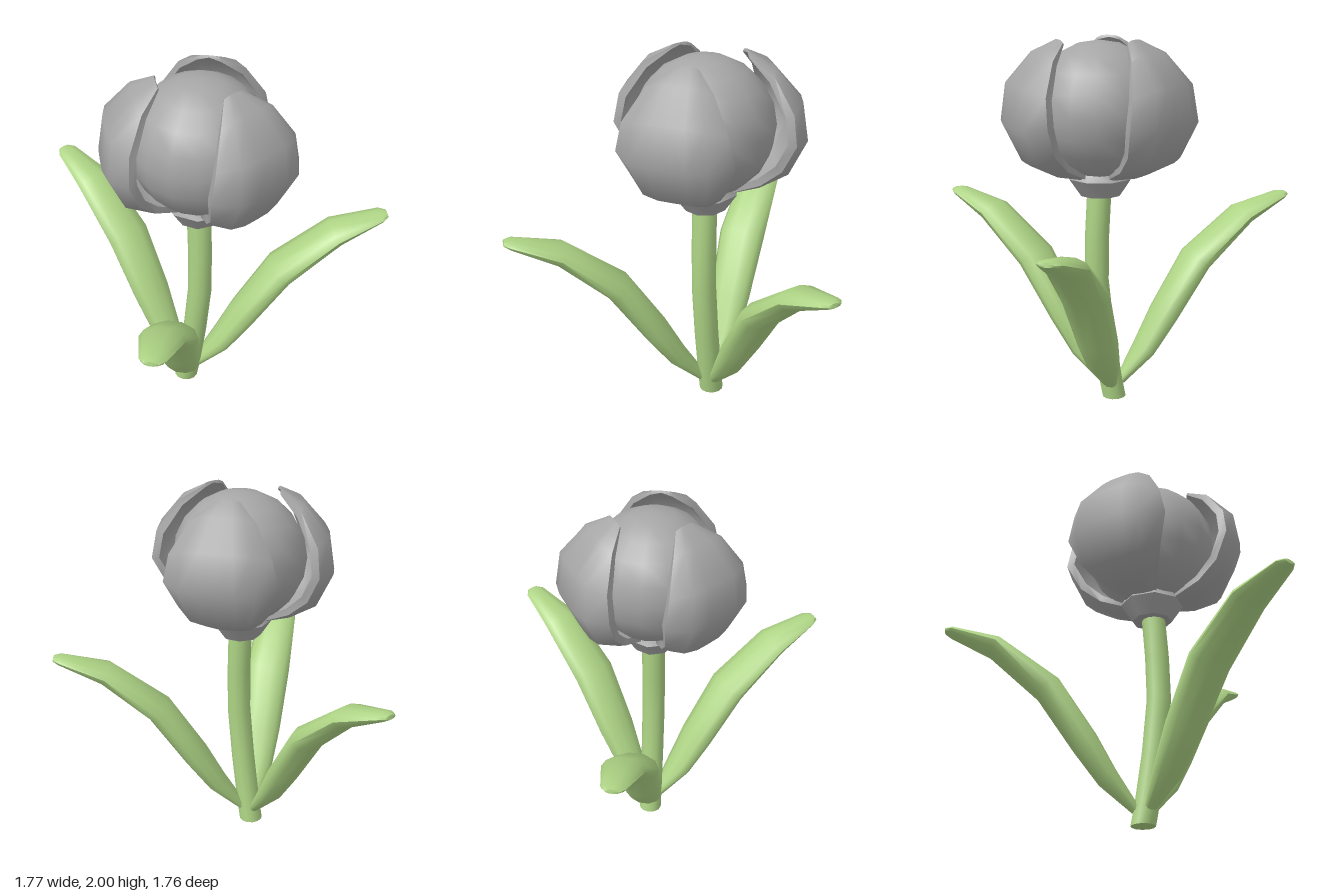
import * as THREE from 'three';
import { toCreasedNormals } from 'three/addons/utils/BufferGeometryUtils.js';

const green = new THREE.MeshStandardMaterial({ color: 0xaed485 });
green.name = 'leaf green';
const gray = new THREE.MeshStandardMaterial({ color: 0xa6a6a6 });
gray.name = 'petal gray';

// Closed skin over rings of points, each ring running counter-clockwise around the path
function loft(rings, crease) {
  const n = rings[0].length;
  const pos = [];
  const index = [];
  rings.forEach((ring) => ring.forEach((p) => pos.push(p.x, p.y, p.z)));
  for (let i = 0; i < rings.length - 1; i++) {
    for (let j = 0; j < n; j++) {
      const a = i * n + j;
      const b = i * n + ((j + 1) % n);
      index.push(a, b, b + n, a, b + n, a + n);
    }
  }
  // End caps
  [0, rings.length - 1].forEach((i) => {
    const c = new THREE.Vector3();
    rings[i].forEach((p) => c.addScaledVector(p, 1 / n));
    const k = pos.length / 3;
    pos.push(c.x, c.y, c.z);
    for (let j = 0; j < n; j++) {
      const a = i * n + j;
      const b = i * n + ((j + 1) % n);
      if (i === 0) index.push(k, b, a);
      else index.push(k, a, b);
    }
  });
  const geo = new THREE.BufferGeometry();
  geo.setAttribute('position', new THREE.Float32BufferAttribute(pos, 3));
  geo.setIndex(index);
  return toCreasedNormals(geo, crease);
}

// Normal of a path in the z-y plane at station i (stations start with z, y)
function pathNormal(stations, i) {
  const a = stations[Math.max(i - 1, 0)];
  const b = stations[Math.min(i + 1, stations.length - 1)];
  return new THREE.Vector3(0, b[0] - a[0], a[1] - b[1]).normalize();
}

function addMesh(parent, name, geometry, material) {
  const mesh = new THREE.Mesh(geometry, material);
  mesh.name = name;
  parent.add(mesh);
  return mesh;
}

// Gently bent stem with level ends
function stemGeometry() {
  const path = [[0, 0.192], [0.12, 0.215], [0.4, 0.257], [0.7, 0.288], [0.95, 0.283], [1.2, 0.267]];
  return loft(path.map(([y, z]) => {
    const ring = [];
    for (let j = 0; j < 12; j++) {
      const a = (j / 12) * Math.PI * 2;
      ring.push(new THREE.Vector3(0.066 * Math.cos(a), y, z - 0.066 * Math.sin(a)));
    }
    return ring;
  }), 1);
}

// Fleshy leaf: distance out, height, half width, half thickness
function leafGeometry() {
  const stations = [
    [0.045, 0.085, 0.036, 0.025], [0.19, 0.255, 0.095, 0.058], [0.31, 0.445, 0.118, 0.074],
    [0.51, 0.748, 0.135, 0.077], [0.8, 0.984, 0.116, 0.058], [1.045, 1.073, 0.064, 0.024],
    [1.08, 1.08, 0.036, 0.012],
  ];
  return loft(stations.map(([z, y, w, t], i) => {
    const normal = pathNormal(stations, i);
    const ring = [];
    for (let j = 0; j < 10; j++) {
      const a = (j / 10) * Math.PI * 2;
      ring.push(new THREE.Vector3(w * Math.cos(a), y, z).addScaledVector(normal, t * Math.sin(a)));
    }
    return ring;
  }), 1.1);
}

// Cupped petal: distance out, height, half width, depth of the cup, thickness
function petalGeometry() {
  const stations = [
    [0.11, 1.265, 0.09, 0.01, 0.02], [0.26, 1.295, 0.18, 0.05, 0.035], [0.41, 1.37, 0.25, 0.1, 0.04],
    [0.503, 1.57, 0.31, 0.115, 0.04], [0.475, 1.78, 0.275, 0.1, 0.04], [0.34, 1.94, 0.175, 0.045, 0.035],
    [0.225, 2.0, 0.065, 0.015, 0.012],
  ];
  const across = 6;
  return loft(stations.map(([z, y, w, depth, t], i) => {
    const normal = pathNormal(stations, i);
    const ring = [];
    for (let side = 0; side < 2; side++) {
      for (let j = 0; j <= across; j++) {
        const s = (side ? -1 : 1) * ((2 * j) / across - 1);
        const p = new THREE.Vector3(s * w * (side ? 0.93 : 1), y, z);
        ring.push(p.addScaledVector(normal, depth * s ** 4 + side * t));
      }
    }
    return ring;
  }), 1.05);
}

export function createModel() {
  const model = new THREE.Group();
  model.name = 'flower';

  addMesh(model, 'stem', stemGeometry(), green);

  // Three leaves around the foot of the stem
  const leaf = leafGeometry();
  [['backLeaf', 180], ['leftLeaf', 53.3], ['rightLeaf', -53.3]].forEach(([name, angle]) => {
    const mesh = addMesh(model, name, leaf, green);
    mesh.position.z = 0.2;
    mesh.rotation.y = THREE.MathUtils.degToRad(angle);
  });

  // Flower head
  const head = new THREE.Group();
  head.name = 'flowerHead';
  head.position.z = 0.26;
  model.add(head);

  const cup = [[0, 1.17], [0.11, 1.17], [0.175, 1.265], [0.15, 1.31], [0, 1.33]]
    .map(([r, y]) => new THREE.Vector2(r, y));
  addMesh(head, 'flowerBase', toCreasedNormals(new THREE.LatheGeometry(cup, 8), 0.9), gray);

  const bulb = addMesh(head, 'innerBud', new THREE.SphereGeometry(0.365, 16, 10), gray);
  bulb.position.y = 1.627;

  const petal = petalGeometry();
  [['frontPetal', 0], ['leftPetal', 125], ['rightPetal', -125]].forEach(([name, angle]) => {
    addMesh(head, name, petal, gray).rotation.y = THREE.MathUtils.degToRad(angle);
  });

  return model;
}
